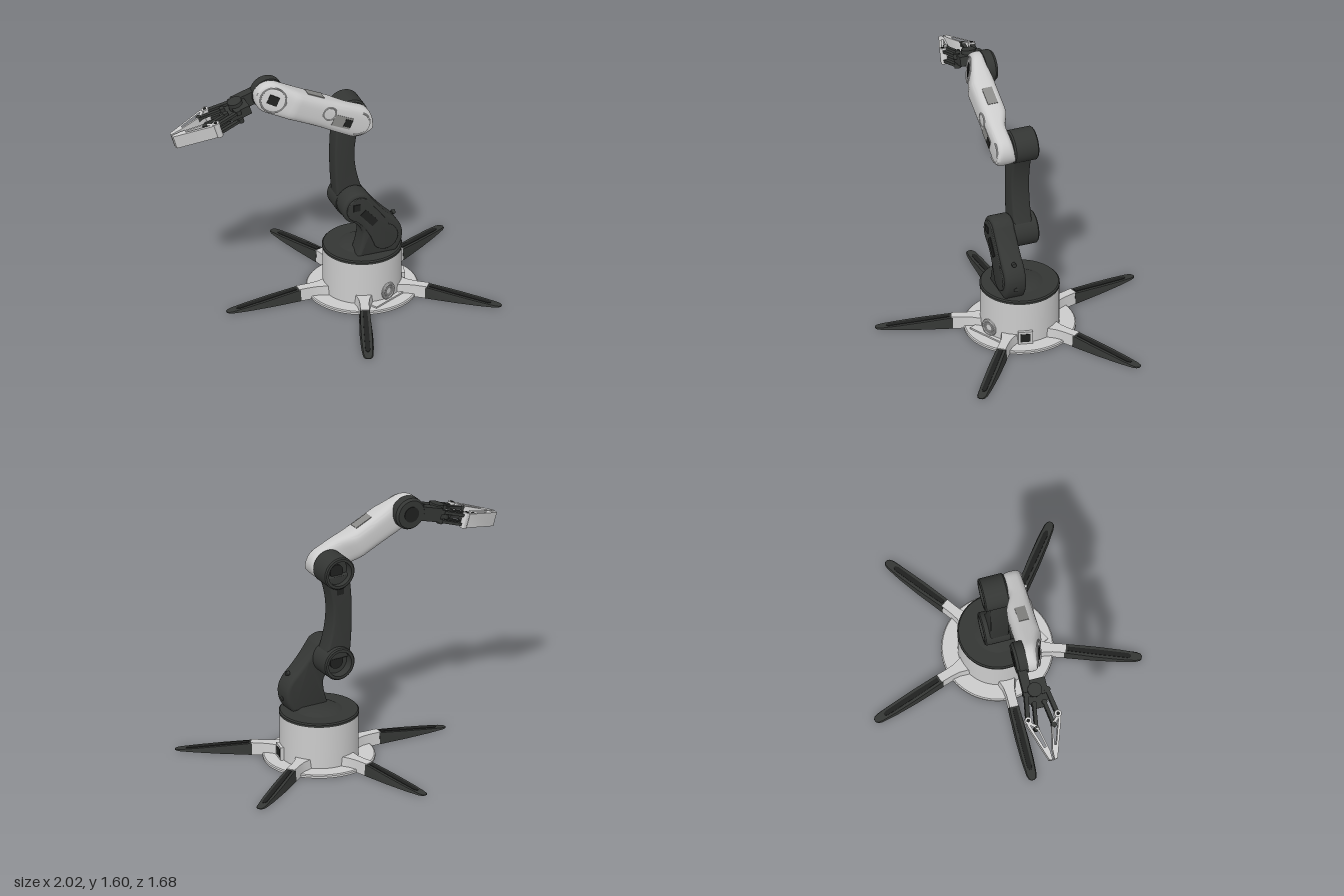
import * as THREE from 'three';
import { toCreasedNormals } from 'three/addons/utils/BufferGeometryUtils.js';

const V2 = (p) => new THREE.Vector2(p[0], p[1]);
const light = new THREE.MeshStandardMaterial({ color: 0xcccccc });
const dark = new THREE.MeshStandardMaterial({ color: 0x343634 });
const black = new THREE.MeshStandardMaterial({ color: 0x1f201f });
const shade = new THREE.MeshStandardMaterial({ color: 0x8a8a88 });

function add(parent, name, geo, mat, x = 0, y = 0, z = 0) {
  const m = new THREE.Mesh(toCreasedNormals(geo, 0.6), mat);
  m.name = name;
  m.position.set(x, y, z);
  parent.add(m);
  return m;
}
const box = (w, h, d) => new THREE.BoxGeometry(w, h, d);
const cyl = (r, h, n = 32) => new THREE.CylinderGeometry(r, r, h, n);
const cylZ = (r, h, n = 32) => cyl(r, h, n).rotateX(Math.PI / 2);
const lathe = (pts, n = 48) => new THREE.LatheGeometry(pts.map(V2), n);

// Plate cut from an outline in x/y, filling z0..z1 with a bevelled rim
function plate(shape, z0, z1, b = 0.012) {
  return new THREE.ExtrudeGeometry(shape, {
    depth: z1 - z0 - 2 * b, bevelEnabled: b > 0, bevelSize: b, bevelThickness: b,
    bevelOffset: -b, bevelSegments: 3, curveSegments: 16,
  }).translate(0, 0, z0 + b);
}

// Open-ended motor housing along z, hollow at its +z end
function housing(r, z0, z1) {
  return lathe([[0, z0], [r - 0.01, z0], [r, z0 + 0.01], [r, z1 - 0.008], [r - 0.008, z1],
    [r - 0.025, z1], [r - 0.025, z1 - 0.06], [0, z1 - 0.06]]).rotateX(Math.PI / 2);
}

// Leg piece along x: half widths at stations, and height following a rule
function legPiece(stations, height, y0 = 0) {
  const up = stations.map(([x, w]) => [x, w]);
  const down = stations.map(([x, w]) => [x, -w]).reverse();
  const geo = new THREE.ExtrudeGeometry(new THREE.Shape([...up, ...down].map(V2)),
    { depth: 1, bevelEnabled: false }).rotateX(-Math.PI / 2);
  const p = geo.attributes.position;
  for (let i = 0; i < p.count; i++) {
    const t = p.getY(i);
    p.setY(i, t > 0.5 ? height(p.getX(i)) : y0);
    if (t > 0.5) p.setZ(i, p.getZ(i) * 0.82);
  }
  geo.computeVertexNormals();
  return geo;
}

function buildBase(root) {
  const base = new THREE.Group();
  base.name = 'base';
  base.position.set(0.12, 0, 0.03);
  root.add(base);
  add(base, 'footDisc', lathe([[0, 0], [0.345, 0], [0.345, 0.014], [0.338, 0.02], [0, 0.02]], 72), light);
  add(base, 'undersidePanel', cyl(0.19, 0.003, 48), shade, 0, 0.001, 0);
  add(base, 'drum', cyl(0.243, 0.285, 64), light, 0, 0.16, 0);
  add(base, 'drumCap', lathe([[0, 0.295], [0.246, 0.295], [0.246, 0.309], [0.238, 0.317], [0, 0.317]], 64), dark);
  add(base, 'turntable', lathe([[0, 0.31], [0.155, 0.31], [0.11, 0.334], [0, 0.334]]), dark);
  // Round front port and square side socket
  const port = add(base, 'roundPort', new THREE.TorusGeometry(0.045, 0.011, 10, 32), light, -0.035, 0.078, 0.243);
  add(port, 'portRing', new THREE.TorusGeometry(0.028, 0.006, 8, 24), light, 0, 0, 0.003);
  add(port, 'portCollar', cylZ(0.045, 0.02), light, 0, 0, -0.007);
  add(base, 'frontStep', box(0.26, 0.02, 0.06), light, -0.04, 0.02, 0.235);
  const socket = new THREE.Group();
  socket.name = 'socket';
  socket.rotation.y = 0.86;
  base.add(socket);
  add(socket, 'socketFrame', box(0.09, 0.085, 0.05), light, 0, 0.062, 0.235);
  add(socket, 'socketOpening', box(0.062, 0.055, 0.006), black, 0, 0.062, 0.259);

  // Five radiating legs
  const slope = (x) => 0.074 - 0.07 * Math.max(0, (x - 0.42) / 0.465);
  for (let i = 0; i < 5; i++) {
    const leg = new THREE.Group();
    leg.name = 'leg' + (i + 1);
    leg.rotation.y = THREE.MathUtils.degToRad(7.5 - 72 * i);
    base.add(leg);
    add(leg, 'legRoot', legPiece([[0.2, 0.07], [0.25, 0.055], [0.29, 0.04], [0.34, 0.034], [0.42, 0.034]],
      () => 0.078), light);
    add(leg, 'legBlade', legPiece([[0.41, 0.036], [0.6, 0.041], [0.75, 0.039], [0.85, 0.032],
      [0.875, 0.024], [0.886, 0.01]], slope), dark);
    add(leg, 'legInsert', legPiece([[0.43, 0.016], [0.6, 0.019], [0.8, 0.018], [0.82, 0.008]],
      (x) => slope(x) + 0.003, 0.001), black);
  }
}

function buildShoulder(arm) {
  // Crooked bracket carrying the shoulder joint
  const s = new THREE.Shape();
  s.moveTo(0.09, 0.312);
  s.quadraticCurveTo(0.05, 0.42, 0.055, 0.48);
  s.quadraticCurveTo(0.07, 0.53, 0.12, 0.56);
  s.absarc(0.08, 0.652, 0.105, -1.15, 2.3, false);
  s.quadraticCurveTo(-0.05, 0.64, -0.13, 0.56);
  s.quadraticCurveTo(-0.205, 0.5, -0.205, 0.43);
  s.quadraticCurveTo(-0.205, 0.36, -0.16, 0.312);
  add(arm, 'shoulderBracket', plate(s, -0.165, -0.03, 0.02), dark);
  const c = new THREE.Shape();
  c.absarc(0.08, 0.65, 0.082, -1.0, 2.2, false);
  c.lineTo(-0.11, 0.53);
  c.absarc(-0.085, 0.43, 0.085, 1.9, 5.6, false);
  c.quadraticCurveTo(0.02, 0.5, 0.1, 0.57);
  add(arm, 'bracketCover', plate(c, -0.175, -0.15, 0.005), dark);
  const slot = add(arm, 'coverSlot', box(0.12, 0.05, 0.01), black, 0.02, 0.585, -0.174);
  slot.rotation.z = 0.85;
  add(arm, 'coverPort', box(0.045, 0.045, 0.01), black, 0.1, 0.67, -0.174);
  for (const [x, y] of [[-0.175, 0.55], [-0.205, 0.39]]) {
    add(arm, 'bracketBolt', cyl(0.014, 0.02, 16).rotateZ(Math.PI / 2), dark, x + 0.01, y, -0.1);
  }
  add(arm, 'shoulderHousing', housing(0.105, -0.045, 0.123), dark, 0.08, 0.64, 0);
  add(arm, 'shoulderHub', cylZ(0.045, 0.02), black, 0.08, 0.64, 0.068);
}

function buildUpperArm(arm) {
  // Bowed link between shoulder and elbow
  const s = new THREE.Shape();
  s.moveTo(-0.01, 0.66);
  s.bezierCurveTo(0.05, 0.82, 0.1, 1.0, 0.0, 1.22);
  s.lineTo(0.165, 1.22);
  s.bezierCurveTo(0.193, 1.08, 0.193, 0.85, 0.17, 0.66);
  add(arm, 'upperArm', plate(s, -0.03, 0.088, 0.014), dark);
  add(arm, 'upperArmCollar', box(0.1, 0.12, 0.1), dark, 0.115, 0.755, 0.02);
  add(arm, 'upperArmVent', box(0.05, 0.06, 0.01), black, 0.1, 1.12, 0.086);
  add(arm, 'elbowHousing', housing(0.105, -0.037, 0.123), dark, 0.08, 1.245, 0);
  add(arm, 'elbowHub', cylZ(0.045, 0.02), black, 0.08, 1.245, 0.068);
}

function buildForearm(arm) {
  const fore = new THREE.Group();
  fore.name = 'forearm';
  fore.position.set(0.08, 1.245, 0);
  fore.rotation.z = Math.atan2(0.255, 0.54);
  arm.add(fore);
  const L = 0.597, r = 0.102, step = THREE.MathUtils.smoothstep;
  // Rounded shell: a tube whose rings follow the rounded ends and the slanted wrist face
  const geo = new THREE.CylinderGeometry(1, 1, 1, 48, 48, true).rotateZ(-Math.PI / 2);
  const p = geo.attributes.position;
  const soft = (v) => Math.sign(v) * Math.pow(Math.abs(v), 0.62);
  for (let i = 0; i < p.count; i++) {
    const s = -r + (L + 2 * r) * (0.5 - 0.5 * Math.cos(Math.PI * (p.getX(i) + 0.5)));
    const e = (s - Math.min(Math.max(s, 0), L)) / r;
    const h = r * Math.sqrt(Math.max(0, 1 - e * e)) * (1 - 0.07 * Math.sin(Math.PI * Math.min(1, Math.max(0, s / L))));
    const lo = -0.147 + 0.33 * Math.max(0, s - 0.45);
    const hi = -0.03 + 0.045 * step(s, 0.1, 0.24) - 0.012 * step(s, 0.45, 0.6);
    p.setXYZ(i, s, h * soft(p.getY(i)), (lo + hi) / 2 + (hi - lo) / 2 * soft(p.getZ(i)));
  }
  geo.computeVertexNormals();
  add(fore, 'forearmShell', geo, light);
  // Openings and trim on the shell
  add(fore, 'topWindow', box(0.12, 0.01, 0.065), shade, 0.33, 0.093, -0.066);
  add(fore, 'sideSlot', box(0.13, 0.075, 0.01), shade, 0.11, -0.01, -0.144);
  add(fore, 'sideSlotRecess', box(0.05, 0.05, 0.004), black, 0.07, -0.01, -0.149);
  add(fore, 'sideRing', new THREE.TorusGeometry(0.042, 0.005, 8, 32), light, 0.215, 0.02, -0.145);
  add(fore, 'endRim', new THREE.TorusGeometry(0.075, 0.006, 8, 32, Math.PI), light, 0, 0, -0.142).rotation.z = Math.PI / 2;
  const face = new THREE.Group();
  face.name = 'wristFace';
  face.position.set(L, 0, -0.099);
  face.rotation.y = -0.319;
  fore.add(face);
  add(face, 'wristRim', new THREE.TorusGeometry(0.08, 0.005, 8, 40), light);
  add(face, 'wristPort', box(0.065, 0.06, 0.008), black, 0, 0, -0.001);
}

function buildGripper(arm) {
  const g = new THREE.Group();
  g.name = 'gripper';
  g.position.set(0.62, 1.5, 0);
  g.rotation.z = -0.3;
  arm.add(g);
  add(g, 'wristHousing', lathe([[0, -0.01], [0.102, -0.01], [0.102, 0.045], [0.09, 0.062], [0, 0.062]])
    .rotateX(Math.PI / 2), dark);
  add(g, 'wristHub', cylZ(0.05, 0.01), black, 0, 0, 0.061);
  add(g, 'wristArm', box(0.2, 0.09, 0.055), dark, 0.12, 0.01, 0.03);
  const hand = new THREE.Group();
  hand.name = 'hand';
  hand.position.z = -0.025;
  g.add(hand);
  add(hand, 'palm', box(0.1, 0.06, 0.14), dark, 0.2, 0.01, 0);
  add(hand, 'palmMotor', cyl(0.045, 0.1), dark, 0.215, 0.015, 0.01);
  add(hand, 'palmTongue', box(0.1, 0.03, 0.05), dark, 0.28, 0, 0);
  // Bar with round ends between two points in the x/z plane
  const link = (parent, name, a, b, w, y, h) => {
    const dx = b[0] - a[0], dz = b[1] - a[1], len = Math.hypot(dx, dz);
    const bar = add(parent, name, box(len, h, w), dark, (a[0] + b[0]) / 2, y, (a[1] + b[1]) / 2);
    bar.rotation.y = -Math.atan2(dz, dx);
    for (const q of [a, b]) add(parent, name + 'Pivot', cyl(w * 0.75, h + 0.012, 20), dark, q[0], y, q[1]);
  };
  for (const k of [1, -1]) {
    const side = new THREE.Group();
    side.name = k > 0 ? 'backFinger' : 'frontFinger';
    hand.add(side);
    for (const y of [-0.03, 0.03]) {
      link(side, 'outerLink', [0.23, 0.066 * k], [0.39, 0.094 * k], 0.026, y, 0.018);
      link(side, 'innerLink', [0.3, 0.032 * k], [0.45, 0.055 * k], 0.022, y, 0.018);
    }
    add(side, 'gear', cyl(0.036, 0.03, 14), dark, 0.265, 0, 0.036 * k);
    add(side, 'knuckle', cyl(0.022, 0.1, 24), light, 0.39, 0, 0.094 * k);
    add(side, 'knucklePin', cyl(0.011, 0.106, 16), black, 0.39, 0, 0.094 * k);
    // Open triangular finger frame
    const f = new THREE.Shape([[0.38, 0.105], [0.42, 0.107], [0.655, 0.026], [0.66, 0.006], [0.6, 0.008], [0.44, 0.043]]
      .map(([x, z]) => V2([x, z * k])));
    f.holes.push(new THREE.Path([[0.42, 0.09], [0.575, 0.038], [0.57, 0.026], [0.455, 0.052]]
      .map(([x, z]) => V2([x, z * k]))));
    add(side, 'fingerFrame', plate(f, -0.045, 0.045, 0).rotateX(Math.PI / 2), light);
  }
}

export function createModel() {
  const root = new THREE.Group();
  root.name = 'robotArm';
  buildBase(root);
  // Arm frame: x runs forward along the reach, z along the joint axes
  const arm = new THREE.Group();
  arm.name = 'arm';
  arm.position.set(0.12, 0, 0.03);
  arm.rotation.y = THREE.MathUtils.degToRad(152);
  root.add(arm);
  buildShoulder(arm);
  buildUpperArm(arm);
  buildForearm(arm);
  buildGripper(arm);
  return root;
}
